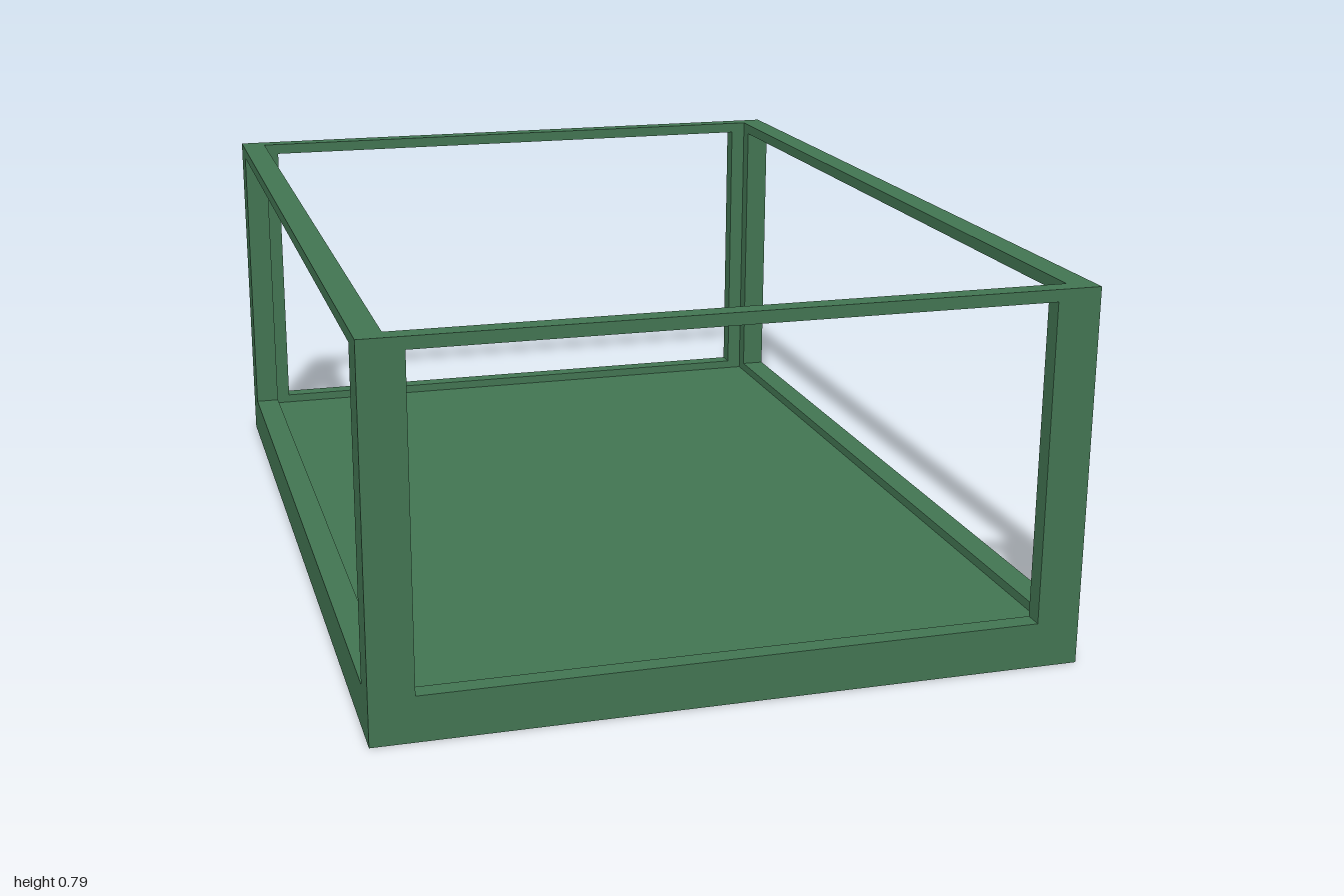
import * as THREE from 'three';

const W = 1.45, D = 2, H = 0.79;      // outer size
const SIDE_T = 0.055, END_T = 0.04;   // wall thicknesses
const SILL = 0.095, RAIL = 0.765;     // bottom and top of every opening
const FLOOR = 0.075;                  // floor level, a little below the sills

const material = new THREE.MeshStandardMaterial({ color: 0x437653, flatShading: true });

// Upright panel with one rectangular opening, centred on its thickness
function framedWall(name, halfWidth, halfOpening, thickness) {
  const shape = new THREE.Shape([
    new THREE.Vector2(-halfWidth, 0), new THREE.Vector2(halfWidth, 0),
    new THREE.Vector2(halfWidth, H), new THREE.Vector2(-halfWidth, H),
  ]);
  shape.holes.push(new THREE.Path([
    new THREE.Vector2(-halfOpening, SILL), new THREE.Vector2(-halfOpening, RAIL),
    new THREE.Vector2(halfOpening, RAIL), new THREE.Vector2(halfOpening, SILL),
  ]));
  const geometry = new THREE.ExtrudeGeometry(shape, { depth: thickness, bevelEnabled: false });
  geometry.translate(0, 0, -thickness / 2);
  const mesh = new THREE.Mesh(geometry, material);
  mesh.name = name;
  return mesh;
}

export function createModel() {
  const group = new THREE.Group();
  group.name = 'openFrameBox';

  // End walls span the full width, side walls fit between them
  for (const s of [1, -1]) {
    const end = framedWall(s > 0 ? 'frontWall' : 'backWall', W / 2, 0.635, END_T);
    end.position.z = s * (D / 2 - END_T / 2);
    const side = framedWall(s > 0 ? 'leftWall' : 'rightWall', D / 2 - END_T, 0.923, SIDE_T);
    side.rotation.y = Math.PI / 2;
    side.position.x = s * (W / 2 - SIDE_T / 2);
    group.add(end, side);
  }

  // Recessed floor slab
  const floor = new THREE.Mesh(
    new THREE.BoxGeometry(W - 2 * SIDE_T, FLOOR, D - 2 * END_T), material);
  floor.name = 'floor';
  floor.position.y = FLOOR / 2;
  group.add(floor);

  return group;
}
